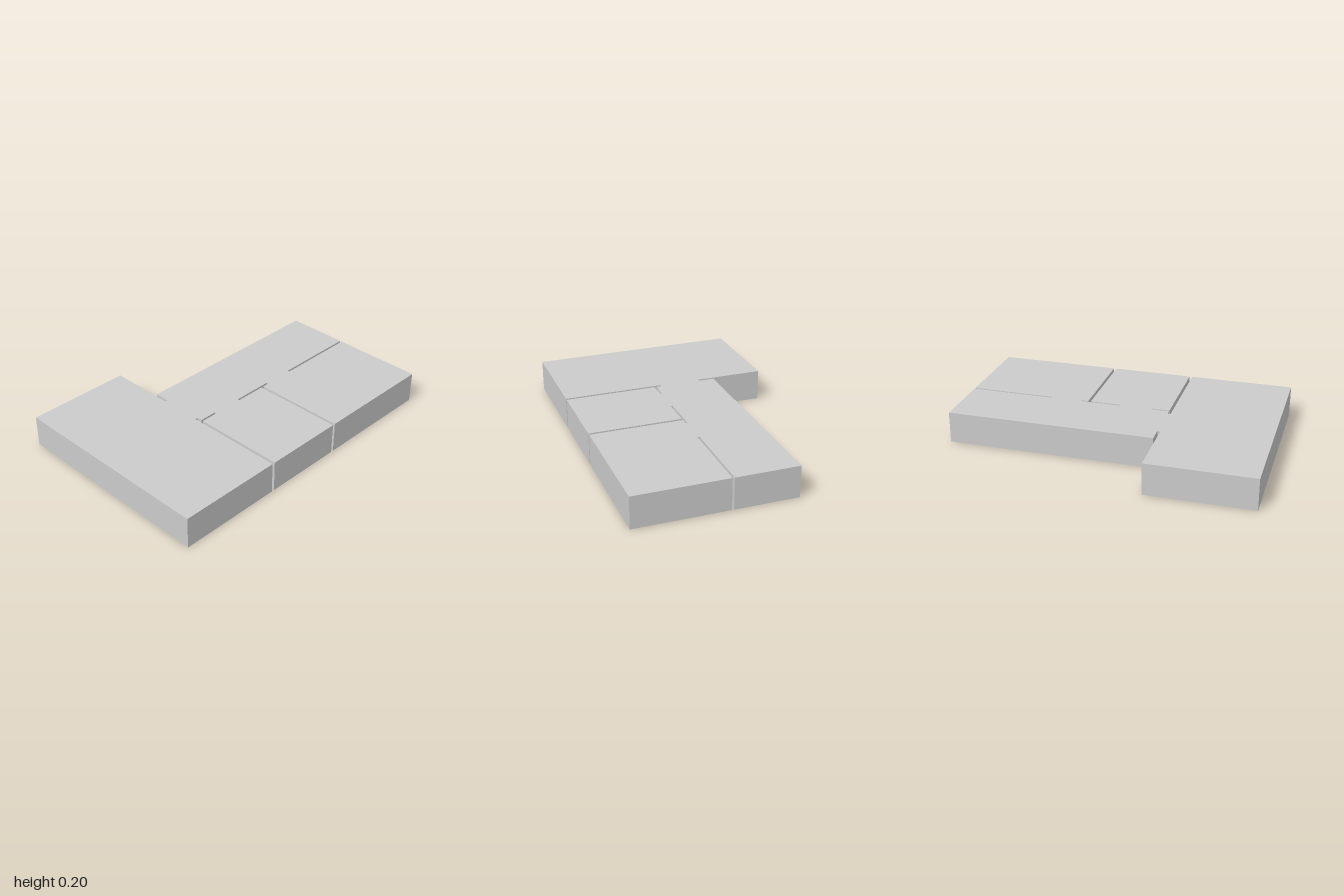
import * as THREE from 'three';

const HEIGHT = 0.2;

export function createModel() {
  const group = new THREE.Group();
  group.name = 'floorPlan';

  // Slab outline as [x, z], with every narrow slot opening onto an outer edge
  const outline = [
    [-0.667, 1], [0.667, 1],
    // front cross slot and its short doorway stub
    [0.667, 0.333], [0.033, 0.333], [0.033, 0.315], [0.067, 0.315],
    [0.067, 0.2], [0.08, 0.2], [0.08, 0.315], [0.667, 0.315],
    // middle cross slot ending in a lengthwise slot
    [0.667, -0.202], [0.08, -0.202], [0.08, 0], [0.067, 0],
    [0.067, -0.267], [0.08, -0.267], [0.08, -0.219], [0.667, -0.219],
    // back lengthwise slot
    [0.667, -1], [0.08, -1], [0.08, -0.467], [0.067, -0.467], [0.067, -1],
    // right side with the short notch beside the wing
    [-0.333, -1], [-0.333, 0.315], [-0.233, 0.315], [-0.233, 0.333], [-0.667, 0.333],
  ];

  const shape = new THREE.Shape(outline.map(([x, z]) => new THREE.Vector2(x, -z)));
  const geometry = new THREE.ExtrudeGeometry(shape, { depth: HEIGHT, bevelEnabled: false });
  geometry.rotateX(-Math.PI / 2); // lay flat, extruding upward

  const slab = new THREE.Mesh(
    geometry,
    new THREE.MeshStandardMaterial({ color: 0xcccccc, flatShading: true })
  );
  slab.name = 'slottedSlab';
  group.add(slab);
  return group;
}
